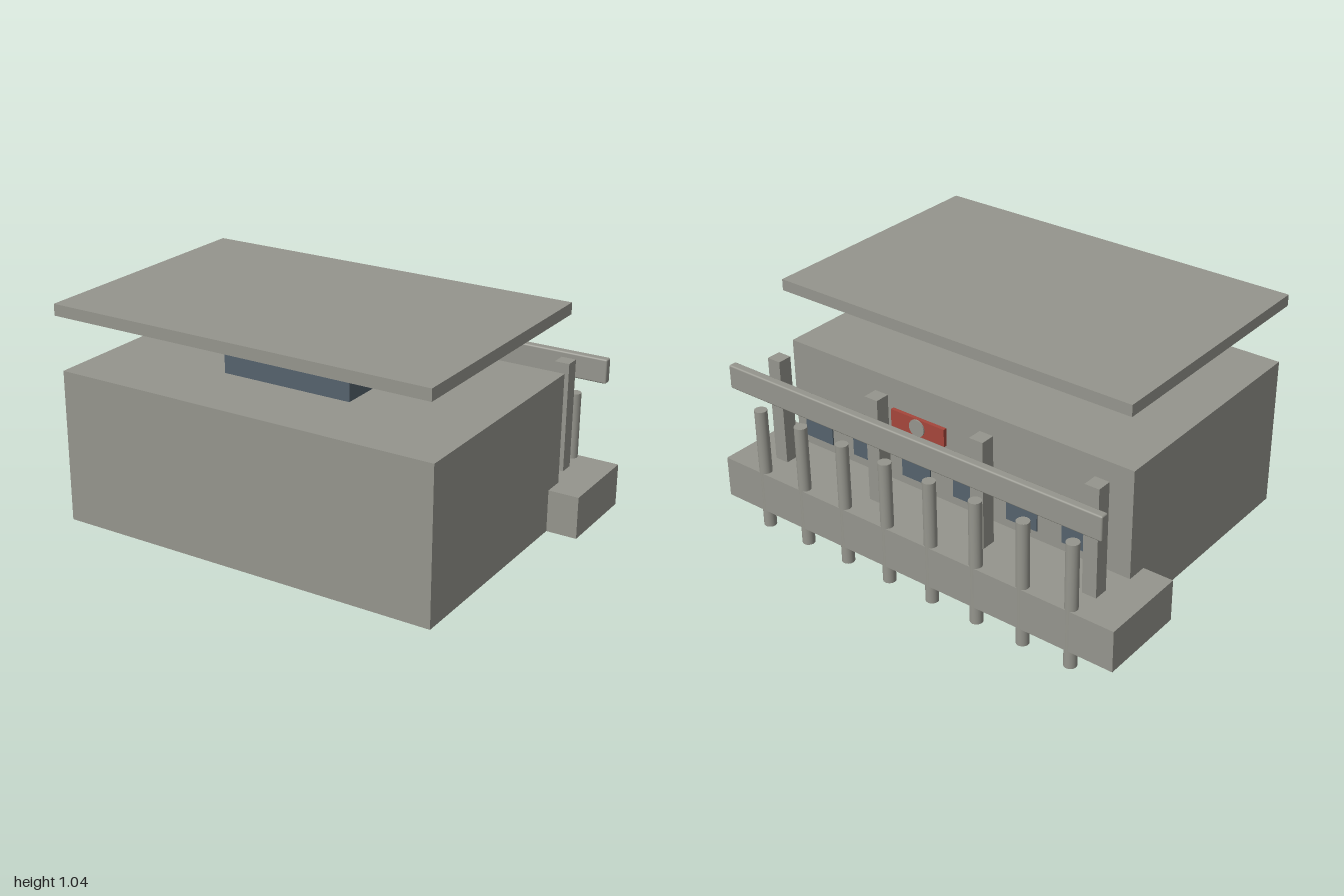
import * as THREE from 'three';
import { RoundedBoxGeometry } from 'three/addons/geometries/RoundedBoxGeometry.js';

export function createModel() {
  const model = new THREE.Group();
  model.name = 'pavilion';

  const material = (name, color) => {
    const m = new THREE.MeshStandardMaterial({ color });
    m.name = name;
    return m;
  };
  const concrete = material('concrete', 0x95958d);
  const glass = material('darkGlass', 0x55626c);
  const red = material('signRed', 0xa5463b);

  const add = (name, geometry, mat, x, y, z) => {
    const mesh = new THREE.Mesh(geometry, mat);
    mesh.name = name;
    mesh.position.set(x, y, z);
    model.add(mesh);
    return mesh;
  };
  // Box given by its width and its y and z limits
  const block = (name, mat, x, width, y0, y1, z0, z1) =>
    add(name, new THREE.BoxGeometry(width, y1 - y0, z1 - z0), mat, x, (y0 + y1) / 2, (z0 + z1) / 2);

  // Main volumes
  block('mainHall', concrete, 0, 1.73, 0.081, 0.75, -0.396, 0.676);
  block('terrace', concrete, 0, 2, 0.081, 0.267, -0.704, -0.303);
  block('clerestory', glass, 0, 0.596, 0.75, 0.957, -0.059, 0.339);
  block('roofSlab', concrete, 0, 1.73, 0.995, 1.045, -0.43, 0.706);

  // Square posts on the terrace
  for (const x of [-0.8, -0.265, 0.265, 0.8])
    block('post', concrete, x, 0.065, 0.267, 0.75, -0.576, -0.511);

  // Round columns along the outer edge, running through the terrace
  const columnGeometry = new THREE.CylinderGeometry(0.0275, 0.0275, 0.563, 16);
  for (let i = 0; i < 8; i++)
    add('column', columnGeometry, concrete, (i - 3.5) * 0.2265, 0.2815, -0.678);

  // Soft-edged beam above the columns
  add('beam', new RoundedBoxGeometry(1.866, 0.108, 0.038, 2, 0.007), concrete, 0, 0.685, -0.685);

  // Free-standing window panes
  for (let i = 0; i < 6; i++)
    block('windowPane', glass, (i - 2.5) * 0.2675, 0.149, 0.364, 0.47, -0.469, -0.463);

  // Sign with a plain round boss
  block('signPanel', red, 0, 0.266, 0.686, 0.763, -0.606, -0.59);
  const boss = add('signBoss', new THREE.CylinderGeometry(0.037, 0.037, 0.008, 24), concrete, 0, 0.7245, -0.608);
  boss.rotation.x = Math.PI / 2;

  return model;
}
